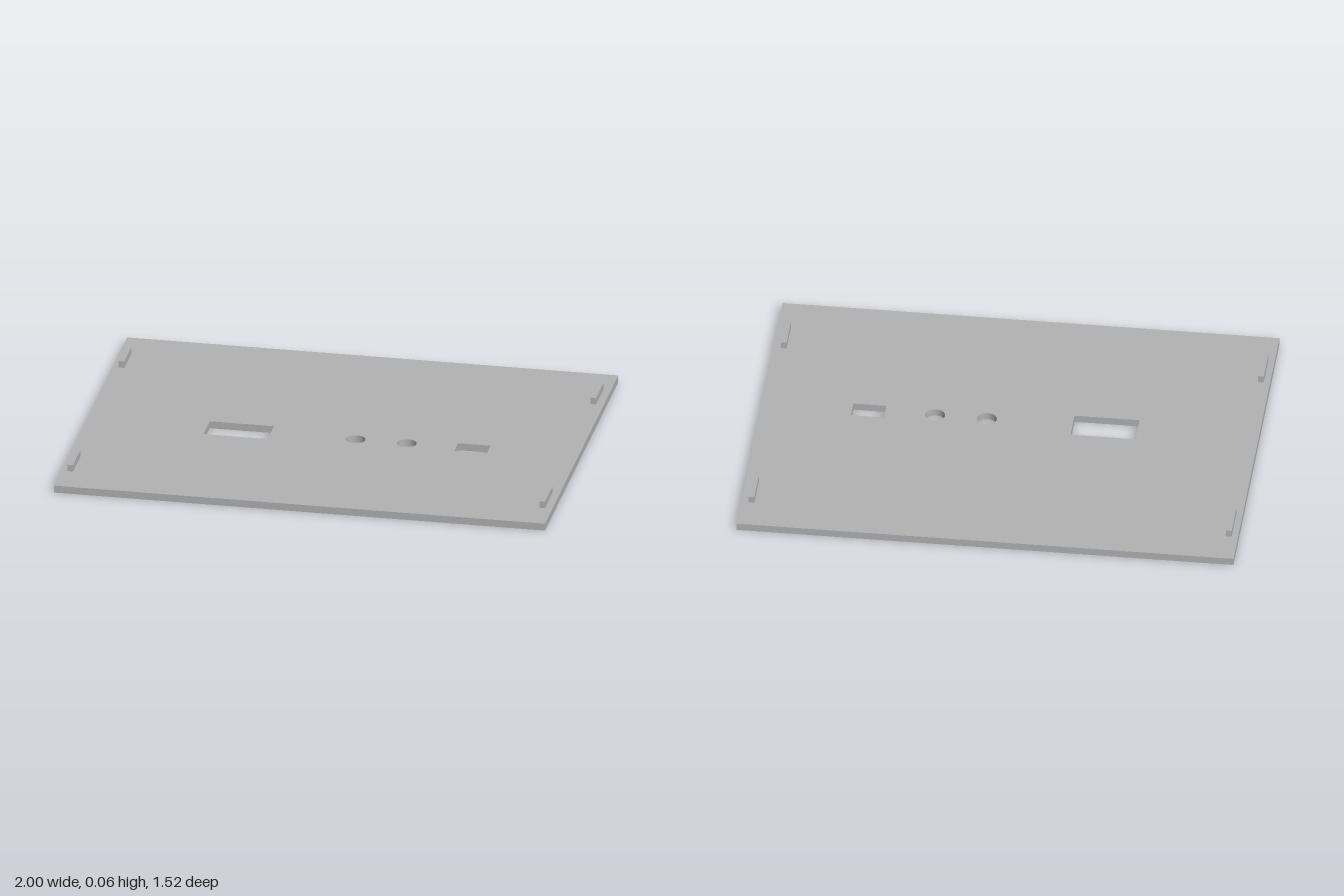
import * as THREE from 'three';

const THICKNESS = 0.03;

// Closed rectangular outline from its x and z limits
function rectangle(Type, x0, x1, z0, z1) {
  const path = new Type();
  path.moveTo(x0, z0);
  path.lineTo(x1, z0);
  path.lineTo(x1, z1);
  path.lineTo(x0, z1);
  path.closePath();
  return path;
}

export function createModel() {
  const group = new THREE.Group();
  group.name = 'coverPanel';
  const grey = new THREE.MeshStandardMaterial({ color: 0xb2b2b2 });
  grey.name = 'grey';

  // Flat panel with a wide window, two round holes and a small window
  const outline = rectangle(THREE.Shape, -1, 1, -0.762, 0.762);
  outline.holes.push(
    rectangle(THREE.Path, -0.513, -0.251, 0.005, 0.136),
    rectangle(THREE.Path, 0.503, 0.636, 0.032, 0.112)
  );
  for (const x of [0.094, 0.302]) {
    outline.holes.push(new THREE.Path().absarc(x, 0.072, 0.04, 0, Math.PI * 2, true));
  }
  const panelGeometry = new THREE.ExtrudeGeometry(outline, {
    depth: THICKNESS, bevelEnabled: false, curveSegments: 24,
  });
  panelGeometry.rotateX(Math.PI / 2).translate(0, THICKNESS, 0);
  const panel = new THREE.Mesh(panelGeometry, grey);
  panel.name = 'panel';
  group.add(panel);

  // Locating tabs standing near the four corners
  const tabGeometry = new THREE.BoxGeometry(0.023, 0.028, 0.153);
  for (const [side, x] of [['Left', 0.958], ['Right', -0.963]]) {
    for (const [end, z] of [['front', 0.531], ['back', -0.535]]) {
      const tab = new THREE.Mesh(tabGeometry, grey);
      tab.name = `${end}${side}Tab`;
      tab.position.set(x, THICKNESS + 0.014, z);
      group.add(tab);
    }
  }
  return group;
}
